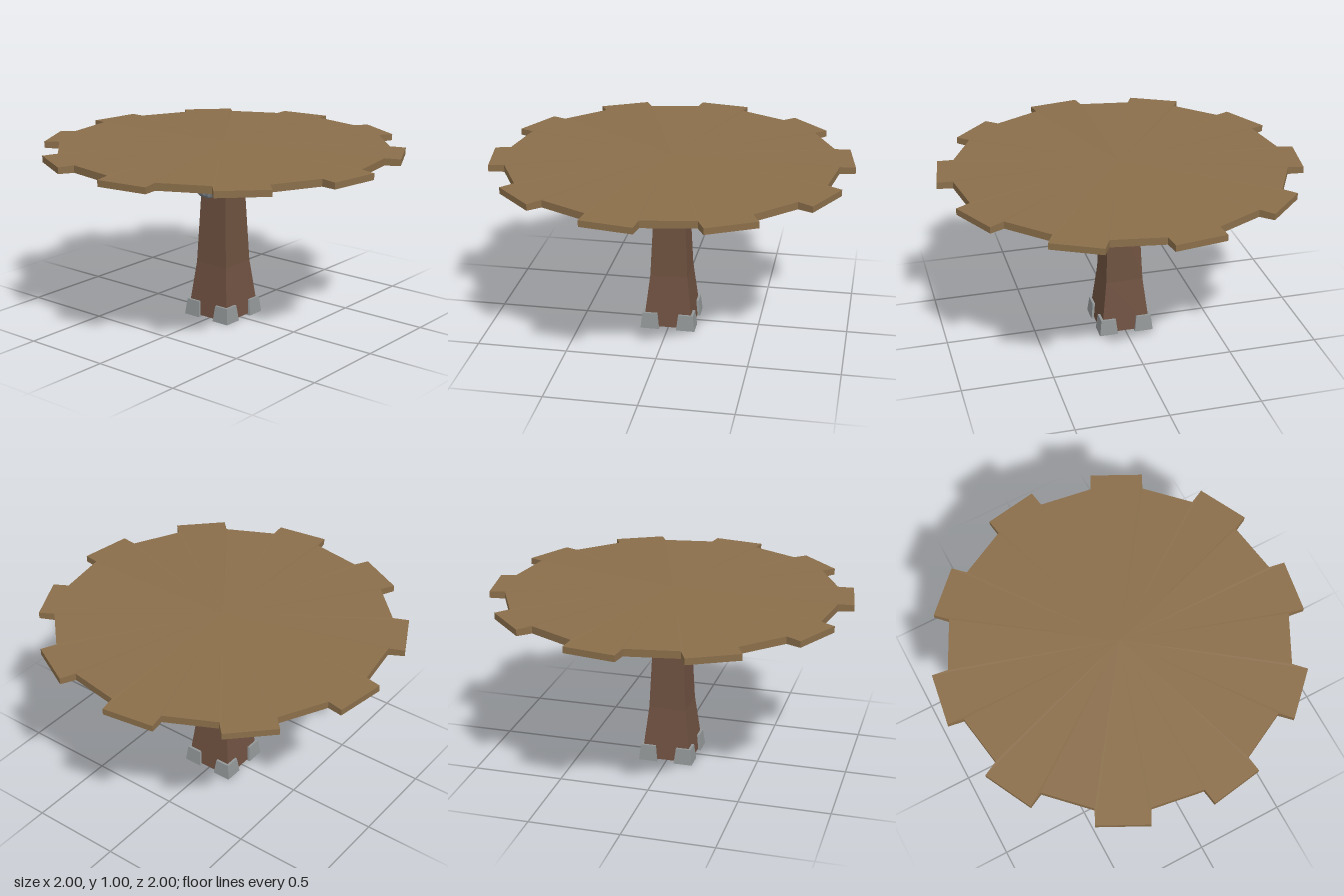
import * as THREE from 'three';

const mat = (color) => new THREE.MeshStandardMaterial({ color, flatShading: true });

function part(name, geometry, material) {
  const mesh = new THREE.Mesh(geometry, material);
  mesh.name = name;
  return mesh;
}

// Twenty-sided disc, slightly domed, with every other side pushed out as a tooth
function cogTopGeometry() {
  const R = 0.912, tooth = 0.087, step = Math.PI / 10;
  const outline = [];
  const dir = (a) => new THREE.Vector3(Math.sin(a), 0, -Math.cos(a));
  for (let i = 0; i < 10; i++) {
    const a0 = (2 * i - 1) * step, a1 = a0 + step;
    const push = dir((a0 + a1) / 2).multiplyScalar(tooth);
    const p0 = dir(a0).multiplyScalar(R), p1 = dir(a1).multiplyScalar(R);
    outline.push(
      { p: p0, top: 0.983, bottom: 0.943 },
      { p: p0.clone().add(push), top: 0.98, bottom: 0.945 },
      { p: p1.clone().add(push), top: 0.98, bottom: 0.945 },
      { p: p1, top: 0.983, bottom: 0.943 }
    );
  }
  const pos = [];
  const at = (o, y) => [o.p.x, y, o.p.z];
  outline.forEach((a, i) => {
    const b = outline[(i + 1) % outline.length];
    const at0 = at(a, a.top), bt = at(b, b.top), ab = at(a, a.bottom), bb = at(b, b.bottom);
    pos.push(0, 1, 0, ...bt, ...at0);
    pos.push(0, 0.933, 0, ...ab, ...bb);
    pos.push(...at0, ...bt, ...ab, ...bt, ...bb, ...ab);
  });
  const g = new THREE.BufferGeometry();
  g.setAttribute('position', new THREE.Float32BufferAttribute(pos, 3));
  g.computeVertexNormals();
  return g;
}

// Square flared post: half widths by height
function postGeometry() {
  const profile = [[0, 0.01], [0.14, 0.01], [0.105, 0.31], [0.076, 0.94], [0, 0.94]];
  const pts = profile.map(([h, y]) => new THREE.Vector2(h * Math.SQRT2, y));
  return new THREE.LatheGeometry(pts, 4, Math.PI / 4);
}

// Block that narrows towards its top
function footGeometry() {
  const g = new THREE.BoxGeometry(0.105, 0.09, 0.105);
  const p = g.attributes.position;
  for (let i = 0; i < p.count; i++) {
    if (p.getY(i) > 0) p.setXYZ(i, p.getX(i) * 0.8, p.getY(i), p.getZ(i) * 0.8);
  }
  g.computeVertexNormals();
  return g;
}

// Ribbed pipe: leaves the post sideways and bends up to the table top
function pipeGeometry() {
  const path = new THREE.CurvePath();
  const v = (x, y) => new THREE.Vector3(x, y, 0);
  const k = 0.14 * 0.5523;
  path.add(new THREE.LineCurve3(v(0.06, 0.725), v(0.1, 0.725)));
  path.add(new THREE.CubicBezierCurve3(v(0.1, 0.725), v(0.1 + k, 0.725), v(0.24, 0.865 - k), v(0.24, 0.865)));
  path.add(new THREE.LineCurve3(v(0.24, 0.865), v(0.24, 0.942)));
  const rings = 21, sides = 8;
  const g = new THREE.TubeGeometry(path, rings, 0.028, sides, false);
  const p = g.attributes.position, q = new THREE.Vector3();
  for (let i = 0; i <= rings; i += 3) {
    const c = path.getPointAt(i / rings);
    for (let j = 0; j <= sides; j++) {
      const n = i * (sides + 1) + j;
      q.fromBufferAttribute(p, n).sub(c).multiplyScalar(0.8).add(c);
      p.setXYZ(n, q.x, q.y, q.z);
    }
  }
  g.computeVertexNormals();
  return g;
}

export function createModel() {
  const group = new THREE.Group();
  group.name = 'cogTable';
  const wood = mat(0x8a6e4a), darkWood = mat(0x6e5140);
  const steel = mat(0x929697), pipeSteel = mat(0x7c8286);
  pipeSteel.side = THREE.DoubleSide;

  group.add(part('tableTop', cogTopGeometry(), wood));
  group.add(part('post', postGeometry(), darkWood));

  // Four corner feet and four pipe braces
  const foot = footGeometry(), pipe = pipeGeometry();
  for (let i = 0; i < 4; i++) {
    const f = part('foot', foot, steel);
    f.position.set(i % 2 ? 0.102 : -0.102, 0.045, i < 2 ? 0.102 : -0.102);
    const b = part('pipeBrace', pipe, pipeSteel);
    b.rotation.y = (i * Math.PI) / 2;
    group.add(f, b);
  }
  return group;
}
